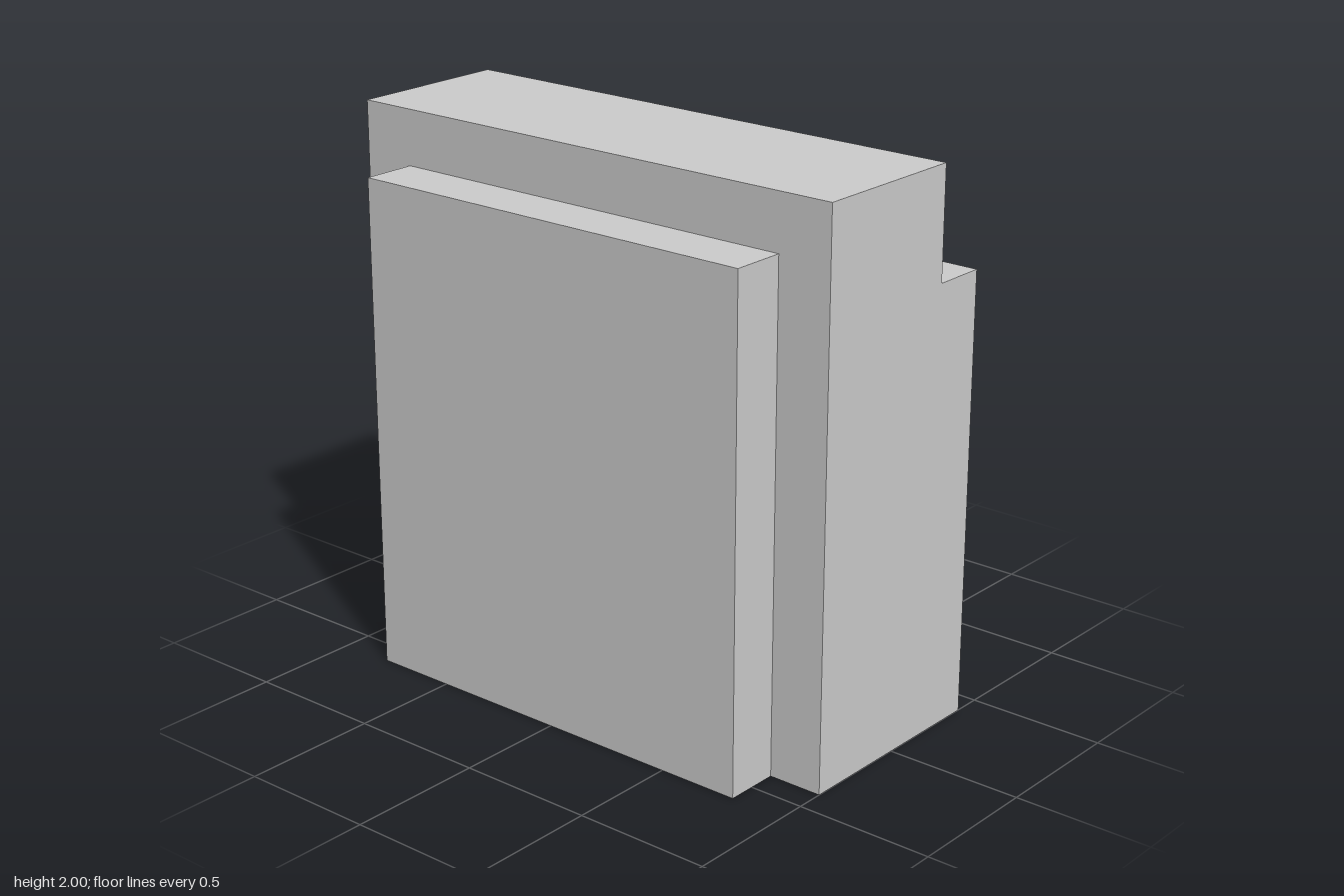
import * as THREE from 'three';

const material = new THREE.MeshStandardMaterial({ color: 0xcccccc, flatShading: true });

// Upright slab from z0 to z1. steps lists [halfWidth, topHeight] from the widest
// to the narrowest; recess is the half width of the hollow cut into its underside.
function slab(name, z0, z1, steps, recess = 0) {
  const half = [];
  if (recess) half.push([recess, 0.2], [recess, 0]);
  let base = 0;
  for (const [w, top] of steps) {
    half.push([w, base], [w, top]);
    base = top;
  }
  const mirrored = half.map(([x, y]) => [-x, y]).reverse();
  const shape = new THREE.Shape([...half, ...mirrored].map(([x, y]) => new THREE.Vector2(x, y)));
  const geometry = new THREE.ExtrudeGeometry(shape, { depth: z1 - z0, bevelEnabled: false });
  geometry.translate(0, 0, z0);
  const mesh = new THREE.Mesh(geometry, material);
  mesh.name = name;
  return mesh;
}

export function createModel() {
  const model = new THREE.Group();
  model.name = 'steppedBlock';
  model.add(
    // Flat raised panel on the front
    slab('frontPanel', 0.4, 0.6, [[0.8, 1.8]]),
    // Full-height core, hollow underneath with a cross-shaped recess
    slab('coreFront', 0.2, 0.4, [[1, 2]], 0.6),
    slab('coreMiddle', -0.2, 0.2, [[1, 2]], 0.8),
    // Lower back layer with notched shoulders
    slab('backShoulder', -0.4, -0.2, [[1, 1.6], [0.8, 1.8]], 0.6),
    // Stepped panel on the back
    slab('backPanel', -0.6, -0.4, [[0.8, 0.8], [0.6, 1.2], [0.4, 1.4]]),
  );
  return model;
}
